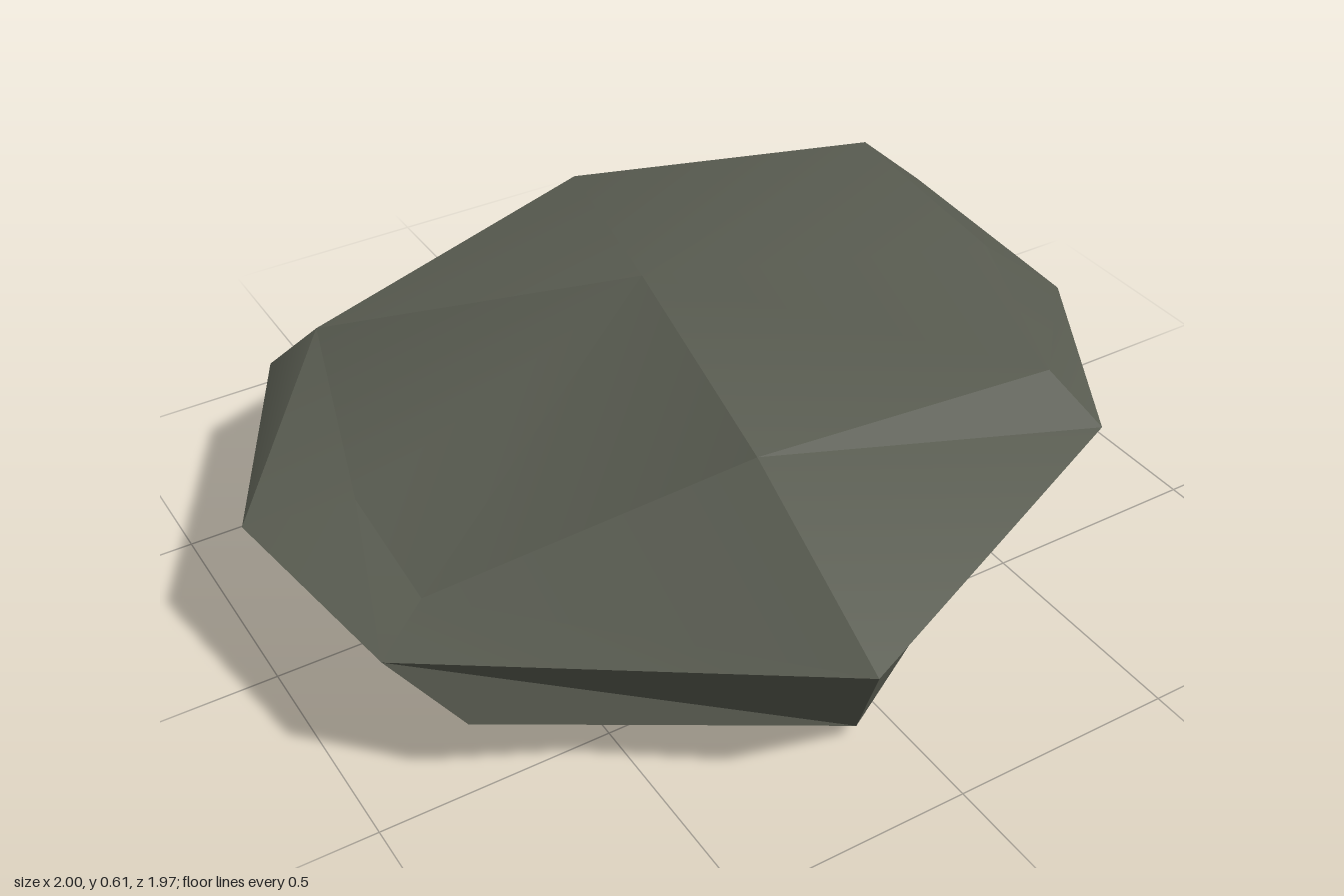
import * as THREE from 'three';
import { toCreasedNormals } from 'three/addons/utils/BufferGeometryUtils.js';

// Joins rings of points with quads, and closes both ends with fans
function loft(rings, bottom, top) {
  const points = [bottom, ...rings.flat(), top];
  const n = rings[0].length;
  const last = points.length - 1;
  const index = [];
  for (let i = 0; i < n; i++) {
    const j = (i + 1) % n;
    index.push(0, 1 + j, 1 + i);
    for (let r = 0; r < rings.length - 1; r++) {
      const a = 1 + r * n, b = a + n;
      index.push(a + i, a + j, b + i, a + j, b + j, b + i);
    }
    const t = 1 + (rings.length - 1) * n;
    index.push(last, t + i, t + j);
  }
  const geometry = new THREE.BufferGeometry();
  geometry.setAttribute('position', new THREE.Float32BufferAttribute(points.flat(), 3));
  geometry.setIndex(index);
  return toCreasedNormals(geometry, 0.48);
}

export function createModel() {
  const stone = new THREE.MeshStandardMaterial({ color: 0x585b50 });
  stone.name = 'dark olive stone';

  // Rings run from the front round by +x to the back and on to -x
  const underside = [
    [-0.09, 0.035, 0.77], [0.61, 0.335, 0.49], [0.82, 0.32, -0.01], [0.85, 0.28, -0.34],
    [0.21, 0, -0.58], [-0.58, 0.12, -0.53], [-0.78, 0.2, 0], [-0.8, 0.18, 0.5],
  ];
  const rim = [
    [-0.21, 0.39, 0.98], [0.67, 0.35, 0.57], [0.98, 0.32, 0.06], [1, 0.33, -0.52],
    [0.22, 0.28, -0.99], [-0.71, 0.29, -0.66], [-1, 0.34, -0.08], [-0.93, 0.345, 0.43],
  ];
  const crown = [
    [-0.2, 0.61, 0.56], [0.57, 0.49, 0.495], [0.8, 0.46, 0], [0.82, 0.49, -0.51],
    [0.1, 0.52, -0.69], [-0.62, 0.4, -0.58], [-0.78, 0.36, -0.02], [-0.78, 0.32, 0.28],
  ];

  const rock = new THREE.Mesh(
    loft([underside, rim, crown], [0.1, 0.025, 0.1], [-0.06, 0.61, -0.1]), stone);
  rock.name = 'rock';

  const group = new THREE.Group();
  group.name = 'flat rock';
  group.add(rock);
  return group;
}
